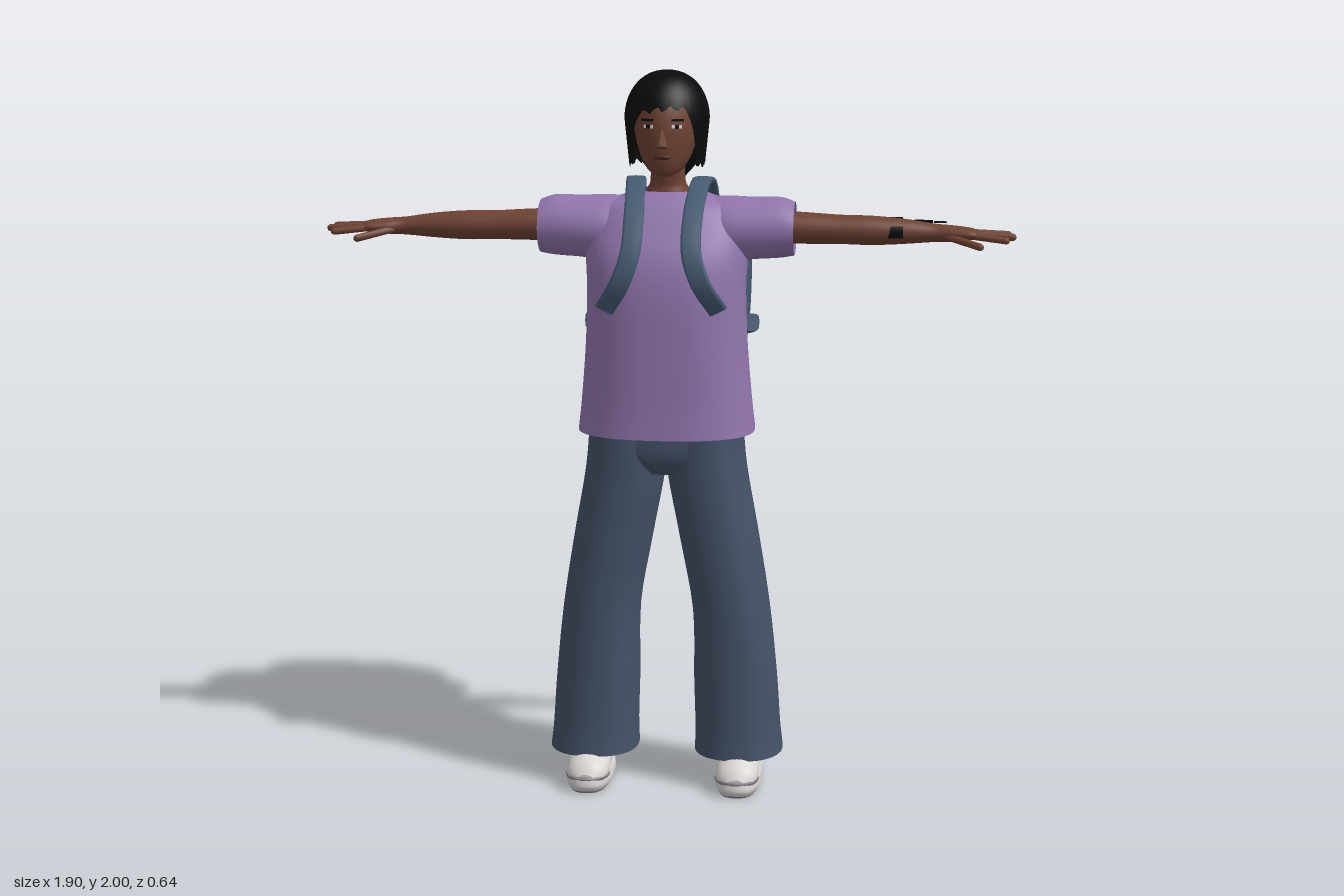
import * as THREE from 'three';

const material = (name, color, double) => {
  const m = new THREE.MeshStandardMaterial({ color });
  m.name = name;
  if (double) m.side = THREE.DoubleSide;
  return m;
};
const V = (x, y, z) => new THREE.Vector3(x, y, z);

// Skin over rings { c: centre, a, b: half axes }; e is the superellipse power
function skin(rings, n = 24, e = 2, caps = true) {
  const pos = [], idx = [];
  const pw = (v) => Math.sign(v) * Math.abs(v) ** (2 / e);
  rings.forEach(({ c, a, b }) => {
    for (let j = 0; j < n; j++) {
      const t = (j / n) * Math.PI * 2;
      const p = c.clone().addScaledVector(a, pw(Math.cos(t))).addScaledVector(b, pw(Math.sin(t)));
      pos.push(p.x, p.y, p.z);
    }
  });
  for (let i = 0; i < rings.length - 1; i++)
    for (let j = 0; j < n; j++) {
      const p = i * n + j, q = i * n + ((j + 1) % n);
      idx.push(p, p + n, q, q, p + n, q + n);
    }
  if (caps)
    [0, rings.length - 1].forEach((r, end) => {
      const k = pos.length / 3, src = r * n * 3;
      pos.push(...pos.slice(src, src + n * 3), ...rings[r].c.toArray());
      for (let j = 0; j < n; j++) {
        const p = k + j, q = k + ((j + 1) % n);
        idx.push(...(end ? [p, k + n, q] : [p, q, k + n]));
      }
    });
  const g = new THREE.BufferGeometry();
  g.setAttribute('position', new THREE.Float32BufferAttribute(pos, 3));
  g.setIndex(idx);
  g.computeVertexNormals();
  return g;
}

// Smooth loft along an axis; rows are [s, centreA, centreB, radiusA, radiusB]
// with (A, B) = (x, z) for y, (z, y) for x, (y, x) for z
const AXES = {
  y: (s, a, b) => V(a, s, b),
  x: (s, a, b) => V(s, b, a),
  z: (s, a, b) => V(b, a, s),
};
function loft(axis, rows, { e = 2, caps = true, n = 28, sub = 4 } = {}) {
  const at = AXES[axis], rings = [];
  const cr = (p, q, r, s, t) =>
    0.5 * (2 * q + (r - p) * t + (2 * p - 5 * q + 4 * r - s) * t * t + (3 * q - p - 3 * r + s) * t ** 3);
  const row = (i) => rows[Math.max(0, Math.min(rows.length - 1, i))];
  for (let k = 0; k <= (rows.length - 1) * sub; k++) {
    const i = Math.floor(k / sub), t = (k % sub) / sub;
    const v = row(i).map((q, c) => cr(row(i - 1)[c], q, row(i + 1)[c], row(i + 2)[c], t));
    rings.push({ c: at(v[0], v[1], v[2]), a: at(0, v[3], 0), b: at(0, 0, v[4]) });
  }
  return skin(rings, n, e, caps);
}

// Flat band along a curve, its width kept close to x
function band(points, width, thick) {
  const curve = new THREE.CatmullRomCurve3(points.map((p) => V(...p)));
  const rings = [];
  for (let i = 0; i <= 28; i++) {
    const t = curve.getTangentAt(i / 28);
    const a = V(1, 0, 0).addScaledVector(t, -t.x).normalize();
    rings.push({ c: curve.getPointAt(i / 28), b: t.clone().cross(a).multiplyScalar(-thick / 2), a: a.multiplyScalar(width / 2) });
  }
  return skin(rings, 12, 4);
}

function mirrored(geo) {
  const g = geo.clone().scale(-1, 1, 1), ix = g.index.array;
  for (let i = 0; i < ix.length; i += 3) [ix[i], ix[i + 1]] = [ix[i + 1], ix[i]];
  g.computeVertexNormals();
  return g;
}

// Hair shell with a high front edge, long sides and a gathered back
function hairShell() {
  const n = 64, rows = 18, pos = [], idx = [];
  for (let i = 0; i <= rows; i++)
    for (let j = 0; j < n; j++) {
      const t = (j / n) * Math.PI * 2, s = Math.sin(t), c = Math.cos(t);
      const front = THREE.MathUtils.smoothstep(s, 0.5, 0.85);
      const low = 1.745 + front * (0.14 + 0.02 * Math.cos(t * 1.5 - 2)) + 0.008 * Math.sin(j * 1.9);
      const y = low + (2.0 - low) * Math.sin((i / rows) * Math.PI / 2);
      const f = y > 1.87 ? Math.sqrt(Math.max(0, 1 - ((y - 1.87) / 0.13) ** 2)) ** 0.9 : 1 - (1.87 - y) * 0.9;
      pos.push(0.116 * f * c, y, 0.112 + 0.135 * f * s);
    }
  for (let i = 0; i < rows; i++)
    for (let j = 0; j < n; j++) {
      const p = i * n + j, q = i * n + ((j + 1) % n);
      idx.push(p, p + n, q, q, p + n, q + n);
    }
  const g = new THREE.BufferGeometry();
  g.setAttribute('position', new THREE.Float32BufferAttribute(pos, 3));
  g.setIndex(idx);
  g.computeVertexNormals();
  return g;
}

export function createModel() {
  const model = new THREE.Group();
  const skinTone = material('brown skin', 0x6e4234), hair = material('black hair', 0x0b0b0c, true);
  const purple = material('purple cotton', 0x9276ae, true), denim = material('blue denim', 0x455268, true);
  const canvas = material('slate canvas', 0x465a72), white = material('off white', 0xdad6d4);
  const grey = material('sole grey', 0x8d848c), lip = material('dark lip', 0x4a2620);
  const add = (name, geo, mat) => {
    const m = new THREE.Mesh(geo, mat);
    m.name = name;
    model.add(m);
    return m;
  };
  const pair = (name, geo, mat) => {
    add('left' + name, geo, mat);
    add('right' + name, mirrored(geo), mat);
  };

  // Shirt
  add('shirtBody', loft('y', [
    [1.01, 0, 0.113, 0.245, 0.183], [1.1, 0, 0.115, 0.235, 0.178], [1.25, 0, 0.12, 0.223, 0.172],
    [1.4, 0, 0.12, 0.218, 0.168], [1.5, 0, 0.113, 0.222, 0.155], [1.58, 0, 0.1, 0.215, 0.125],
    [1.63, 0, 0.09, 0.19, 0.102], [1.655, 0, 0.083, 0.13, 0.085], [1.672, 0, 0.078, 0.08, 0.07],
  ], { e: 2.5, caps: false, n: 40 }), purple);
  pair('Sleeve', loft('x', [
    [0.09, 0.085, 1.58, 0.08, 0.07], [0.16, 0.09, 1.567, 0.105, 0.09], [0.24, 0.095, 1.57, 0.1, 0.085],
    [0.31, 0.098, 1.573, 0.092, 0.083], [0.35, 0.1, 1.57, 0.086, 0.073],
  ], { caps: false }), purple);

  // Trousers
  add('trouserWaist', loft('y', [
    [0.9, 0, 0.125, 0.12, 0.1], [0.95, 0, 0.125, 0.2, 0.13], [1.04, 0, 0.125, 0.212, 0.132],
  ], { e: 2.5 }), denim);
  pair('TrouserLeg', loft('y', [
    [0.09, 0.205, 0.115, 0.125, 0.142], [0.16, 0.202, 0.115, 0.12, 0.137], [0.3, 0.195, 0.115, 0.117, 0.135],
    [0.5, 0.183, 0.12, 0.108, 0.133], [0.7, 0.15, 0.123, 0.11, 0.133], [0.9, 0.114, 0.125, 0.111, 0.133],
    [1.02, 0.106, 0.125, 0.108, 0.133],
  ], { e: 2.3, caps: false }), denim);

  // Shoes
  pair('Sole', loft('y', [
    [0.005, 0.21, 0.176, 0.058, 0.135], [0.02, 0.21, 0.175, 0.065, 0.145], [0.04, 0.21, 0.175, 0.063, 0.143],
  ], { e: 2.6 }), white);
  pair('Tread', loft('y', [[0, 0.21, 0.176, 0.055, 0.132], [0.008, 0.21, 0.176, 0.059, 0.137]], { e: 2.6 }), grey);
  pair('ShoeUpper', loft('z', [
    [0.038, 0.055, 0.21, 0.035, 0.04], [0.08, 0.065, 0.21, 0.055, 0.055], [0.17, 0.065, 0.21, 0.06, 0.058],
    [0.25, 0.052, 0.21, 0.047, 0.06], [0.29, 0.045, 0.21, 0.038, 0.05], [0.312, 0.04, 0.21, 0.015, 0.025],
  ]), white);
  pair('ToeGuard', new THREE.TorusGeometry(0.056, 0.007, 8, 20, Math.PI).rotateX(Math.PI / 2)
    .scale(1, 1, 1.1).translate(0.21, 0.042, 0.25), grey);

  // Arms, palms and fingers
  pair('Arm', loft('x', [
    [0.15, 0.098, 1.575, 0.05, 0.048], [0.35, 0.1, 1.573, 0.05, 0.044], [0.47, 0.1, 1.57, 0.044, 0.04],
    [0.56, 0.098, 1.568, 0.044, 0.04], [0.65, 0.094, 1.566, 0.037, 0.034], [0.73, 0.092, 1.563, 0.028, 0.025],
    [0.78, 0.095, 1.562, 0.038, 0.022], [0.83, 0.098, 1.562, 0.042, 0.016], [0.85, 0.098, 1.56, 0.03, 0.01],
  ]), skinTone);
  [[0.82, 1.562, 0.065, 0.895, 1.553, 0.047], [0.83, 1.564, 0.085, 0.935, 1.558, 0.075],
    [0.83, 1.562, 0.105, 0.947, 1.555, 0.105], [0.825, 1.56, 0.125, 0.928, 1.55, 0.145],
    [0.76, 1.557, 0.115, 0.858, 1.535, 0.175]].forEach(([x, y, z, tx, ty, tz], i) => {
    const a = V(x, y, z), d = V(tx, ty, tz).sub(a);
    const g = new THREE.CapsuleGeometry(0.01, d.length() - 0.012, 4, 8);
    g.applyQuaternion(new THREE.Quaternion().setFromUnitVectors(V(0, 1, 0), d.clone().normalize()));
    g.translate(...a.addScaledVector(d, 0.5).toArray());
    pair(i < 4 ? 'Finger' + (i + 1) : 'Thumb', g, skinTone);
  });

  // Dark markings on the left forearm
  [[0.615, 0.06, 0.041, -0.4, 0.9], [0.61, 0.065, 0.041, 1.5, 1.9], [0.7, 0.05, 0.0345, 1.4, 1.5], [0.745, 0.035, 0.031, 1.1, 1.0]]
    .forEach(([x, len, r, start, sweep]) => add('armMarking',
      new THREE.CylinderGeometry(r, r, len, 10, 1, true, start, sweep).rotateZ(Math.PI / 2)
        .scale(1, 0.93, 1.04).translate(x, 1.566, 0.094), hair));

  // Neck, head and face
  add('neck', loft('y', [
    [1.6, 0, 0.08, 0.08, 0.08], [1.67, 0, 0.082, 0.06, 0.058], [1.7, 0, 0.088, 0.048, 0.05], [1.79, 0, 0.1, 0.048, 0.058],
  ]), skinTone);
  add('head', loft('y', [
    [1.72, 0, 0.185, 0.018, 0.025], [1.735, 0, 0.165, 0.045, 0.06], [1.77, 0, 0.14, 0.068, 0.095],
    [1.82, 0, 0.13, 0.083, 0.109], [1.87, 0, 0.12, 0.09, 0.116], [1.92, 0, 0.115, 0.085, 0.105], [1.965, 0, 0.11, 0.055, 0.07],
  ]), skinTone);
  add('nose', new THREE.ConeGeometry(0.017, 0.06, 8).scale(1, 1, 1.3).rotateX(-0.3).translate(0, 1.83, 0.24), skinTone);
  add('mouth', new THREE.SphereGeometry(1, 12, 8).scale(0.024, 0.007, 0.007).translate(0, 1.775, 0.234), lip);
  const facing = (w, h, x, y, z) => new THREE.BoxGeometry(w, h, 0.006).rotateY(0.35).translate(x, y, z);
  pair('Eye', facing(0.028, 0.009, 0.038, 1.857, 0.227), white);
  pair('Iris', facing(0.011, 0.01, 0.038, 1.857, 0.229), hair);
  pair('Brow', facing(0.034, 0.006, 0.04, 1.874, 0.226), hair);

  // Hair and braid
  add('hair', hairShell(), hair);
  add('gatheredHair', loft('y', [
    [1.66, 0, 0.0, 0.022, 0.022], [1.7, 0, 0.02, 0.04, 0.03], [1.75, 0, 0.05, 0.08, 0.055], [1.83, 0, 0.075, 0.105, 0.09],
  ]), hair);
  for (let i = 0; i < 6; i++)
    add('braidKnot', new THREE.SphereGeometry(0.031 - i * 0.0015, 12, 8).scale(1, 0.75, 0.85)
      .translate(i % 2 ? 0.007 : -0.007, 1.7 - i * 0.024, 0.008 - i * 0.01), hair);

  // Backpack
  add('packBody', loft('y', [
    [1.2, 0, -0.125, 0.185, 0.068], [1.225, 0, -0.135, 0.203, 0.086], [1.35, 0, -0.143, 0.212, 0.093],
    [1.5, 0, -0.145, 0.212, 0.093], [1.58, 0, -0.13, 0.2, 0.075],
  ], { e: 4, n: 40 }), canvas);
  add('packFlap', loft('y', [
    [1.455, 0, -0.15, 0.2, 0.085], [1.48, 0, -0.165, 0.216, 0.112], [1.53, 0, -0.17, 0.216, 0.121],
    [1.58, 0, -0.152, 0.21, 0.1], [1.605, 0, -0.13, 0.19, 0.075], [1.618, 0, -0.115, 0.15, 0.045],
  ], { e: 4, n: 40 }), canvas);
  add('packPocket', loft('y', [
    [1.25, 0, -0.245, 0.135, 0.035], [1.28, 0, -0.255, 0.148, 0.052], [1.35, 0, -0.262, 0.152, 0.058],
    [1.41, 0, -0.255, 0.148, 0.05], [1.45, 0, -0.235, 0.13, 0.025],
  ], { e: 4, n: 40 }), canvas);
  pair('PackButton', new THREE.CylinderGeometry(0.016, 0.016, 0.009, 14).rotateX(Math.PI / 2 - 0.25)
    .translate(0.095, 1.41, -0.306), hair);

  // Straps over the shoulders and their lower ends
  pair('Strap', band([
    [0.105, 1.58, -0.07], [0.1, 1.675, -0.02], [0.092, 1.695, 0.05], [0.085, 1.67, 0.13], [0.08, 1.61, 0.218],
    [0.083, 1.52, 0.285], [0.11, 1.44, 0.297], [0.155, 1.365, 0.268],
  ], 0.055, 0.018), canvas);
  pair('LowerStrap', band([[0.2, 1.27, -0.09], [0.212, 1.28, -0.05], [0.222, 1.29, -0.01]], 0.05, 0.05), canvas);
  return model;
}
